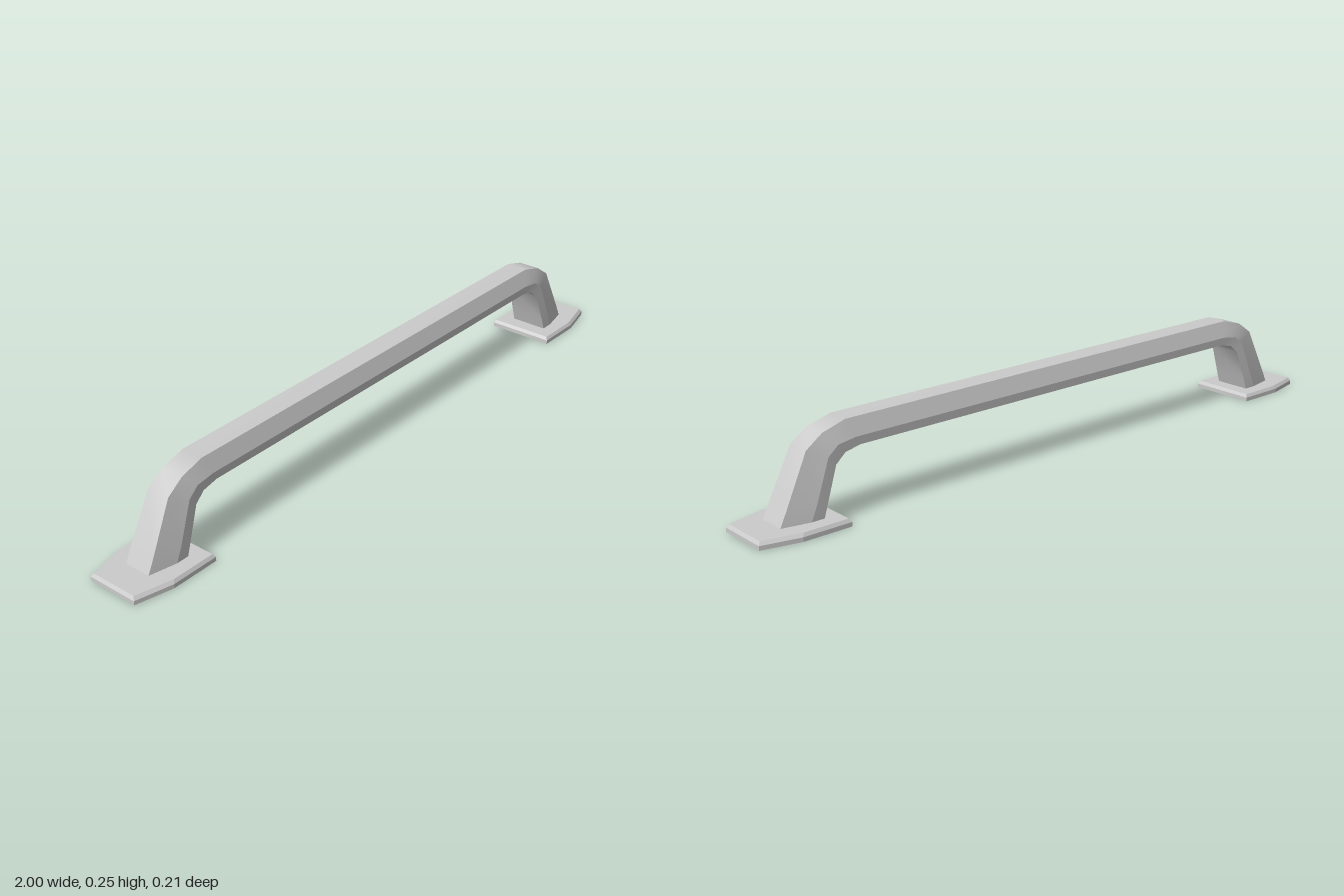
import * as THREE from 'three';

// Skin a list of closed rings. Each lengthwise strip has its own vertices, so
// shading is smooth along the strip and sharp between strips.
function loft(rings, capped = false) {
  const pos = [], idx = [];
  const n = rings[0].length;
  for (let k = 0; k < n; k++) {
    const base = pos.length / 3;
    rings.forEach((ring, s) => {
      pos.push(...ring[k], ...ring[(k + 1) % n]);
      if (s === 0) return;
      const a0 = base + 2 * (s - 1), b0 = a0 + 1, a1 = a0 + 2, b1 = a0 + 3;
      idx.push(a0, b0, a1, b0, b1, a1);
    });
  }
  if (capped) {
    [rings[0].slice().reverse(), rings[rings.length - 1]].forEach((ring) => {
      const base = pos.length / 3;
      ring.forEach((p) => pos.push(...p));
      for (let k = 1; k < n - 1; k++) idx.push(base, base + k, base + k + 1);
    });
  }
  const g = new THREE.BufferGeometry();
  g.setAttribute('position', new THREE.Float32BufferAttribute(pos, 3));
  g.setIndex(idx);
  g.computeVertexNormals();
  return g;
}

// Stations from foot to bar: outer face, widest crease and inner face,
// each as [x, y, half width]
const STATIONS = [
  [[0.92, 0.015, 0.04], [0.84, 0.015, 0.057], [0.802, 0.015, 0.057]],
  [[0.898, 0.06, 0.04], [0.82, 0.062, 0.057], [0.787, 0.06, 0.056]],
  [[0.83, 0.2, 0.035], [0.777, 0.175, 0.052], [0.755, 0.15, 0.051]],
  [[0.78, 0.235, 0.034], [0.745, 0.2, 0.05], [0.725, 0.175, 0.049]],
  [[0.71, 0.255, 0.033], [0.69, 0.208, 0.05], [0.68, 0.185, 0.049]],
];

function gripGeometry() {
  const section = ([o, m, i], side) => [
    [o, 1], [o, -1], [m, -1], [i, -1], [i, 1], [m, 1],
  ].map(([p, s]) => [side * p[0], p[1], s * p[2]]);
  return loft([
    ...STATIONS.map((st) => section(st, 1)),
    ...STATIONS.slice().reverse().map((st) => section(st, -1)),
  ]);
}

// Six-sided foot plate with a bevelled top edge
function plateGeometry() {
  const outline = [[1, 0.077], [1, -0.077], [0.893, -0.103],
    [0.75, -0.103], [0.75, 0.103], [0.893, 0.103]];
  const cx = 0.875;
  const ring = (y, inset) => outline.map(([x, z]) => [
    x - Math.sign(x - cx) * inset, y, z - Math.sign(z) * inset]);
  return loft([ring(0, 0), ring(0.012, 0), ring(0.021, 0.006)], true);
}

export function createModel() {
  const model = new THREE.Group();
  model.name = 'pullHandle';

  const grip = new THREE.Mesh(gripGeometry(),
    new THREE.MeshStandardMaterial({ color: 0xcccccc }));
  grip.name = 'grip';
  model.add(grip);

  const plateMaterial = new THREE.MeshStandardMaterial({ color: 0xcccccc, flatShading: true });
  const geometry = plateGeometry();
  ['leftFootPlate', 'rightFootPlate'].forEach((name, k) => {
    const plate = new THREE.Mesh(geometry, plateMaterial);
    plate.name = name;
    plate.rotation.y = k * Math.PI;
    model.add(plate);
  });
  return model;
}
